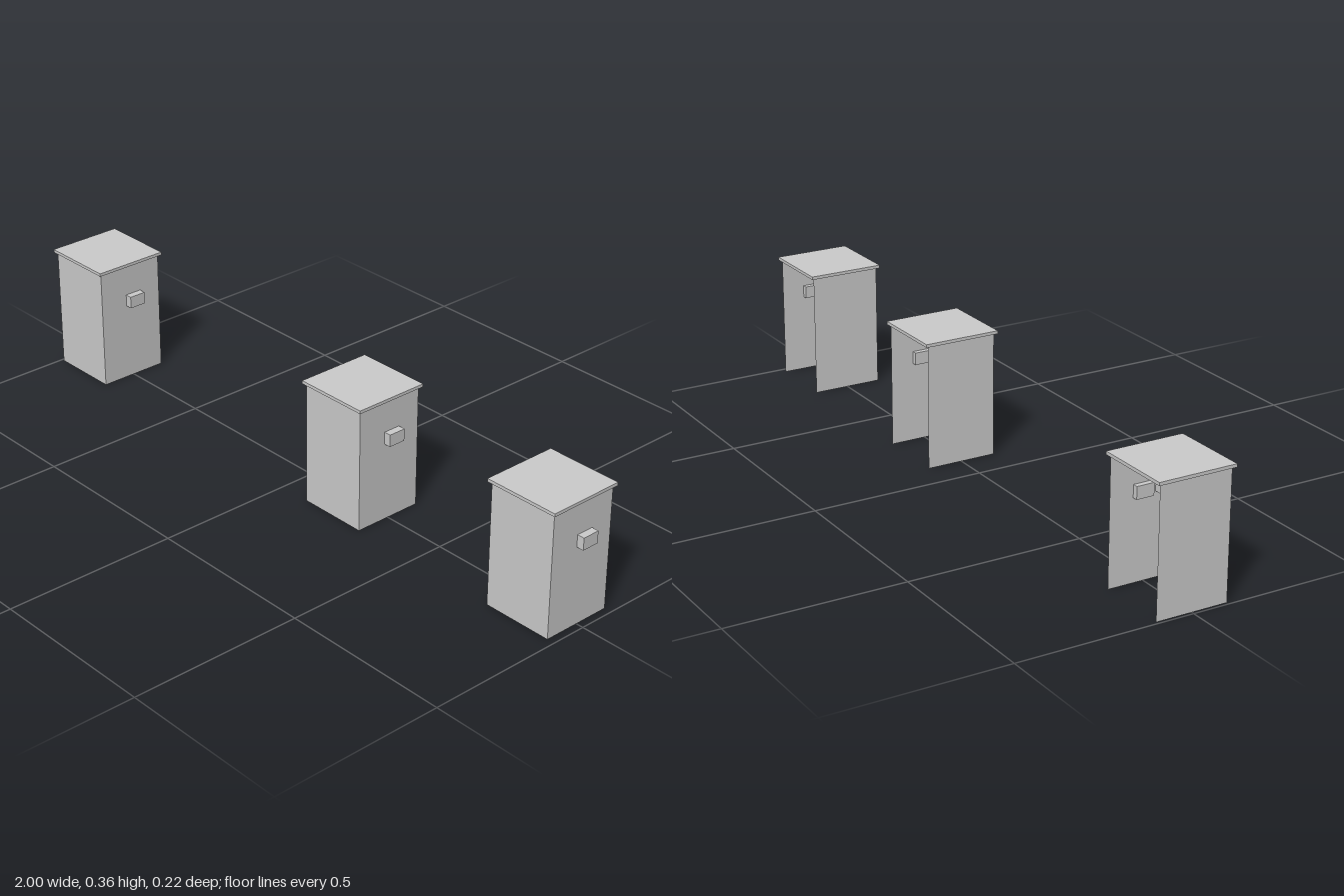
import * as THREE from 'three';

const HALF = 0.103;      // half width of the wall shell
const HEIGHT = 0.355;

const grey = new THREE.MeshStandardMaterial({ color: 0xcccccc, flatShading: true });
const thin = new THREE.MeshStandardMaterial({ color: 0xcccccc, flatShading: true, side: THREE.DoubleSide });

// Box given by its lower and upper corners
function box(name, [x0, y0, z0], [x1, y1, z1]) {
  const mesh = new THREE.Mesh(new THREE.BoxGeometry(x1 - x0, y1 - y0, z1 - z0), grey);
  mesh.position.set((x0 + x1) / 2, (y0 + y1) / 2, (z0 + z1) / 2);
  mesh.name = name;
  return mesh;
}

// Single-sheet wall standing on the ground, turned to face outward
function wall(name, x, z, turn) {
  const mesh = new THREE.Mesh(new THREE.PlaneGeometry(HALF * 2, HEIGHT), thin);
  mesh.position.set(x, HEIGHT / 2, z);
  mesh.rotation.y = turn;
  mesh.name = name;
  return mesh;
}

function createBooth() {
  const booth = new THREE.Group();
  booth.name = 'booth';
  booth.add(
    // Three walls; the back and the floor stay open
    wall('frontWall', 0, HALF, 0),
    wall('leftWall', HALF, 0, Math.PI / 2),
    wall('rightWall', -HALF, 0, -Math.PI / 2),
    // Overhanging roof slab
    box('roof', [-0.111, 0.354, -0.111], [0.111, 0.363, 0.111]),
    // Small box passing through the left wall
    box('wallBox', [0.088, 0.228, -0.035], [0.124, 0.263, 0.016]),
    // Cabinets inside the front left corner
    box('upperCabinet', [0.052, 0.232, 0.03], [0.1025, 0.274, 0.096]),
    box('lowerCabinet', [0.051, 0.001, 0.086], [0.1, 0.108, 0.1025])
  );
  return booth;
}

export function createModel() {
  const model = new THREE.Group();
  model.name = 'boothRow';
  for (const x of [-0.889, 0.2, 0.875]) {
    const booth = createBooth();
    booth.position.x = x;
    model.add(booth);
  }
  return model;
}
